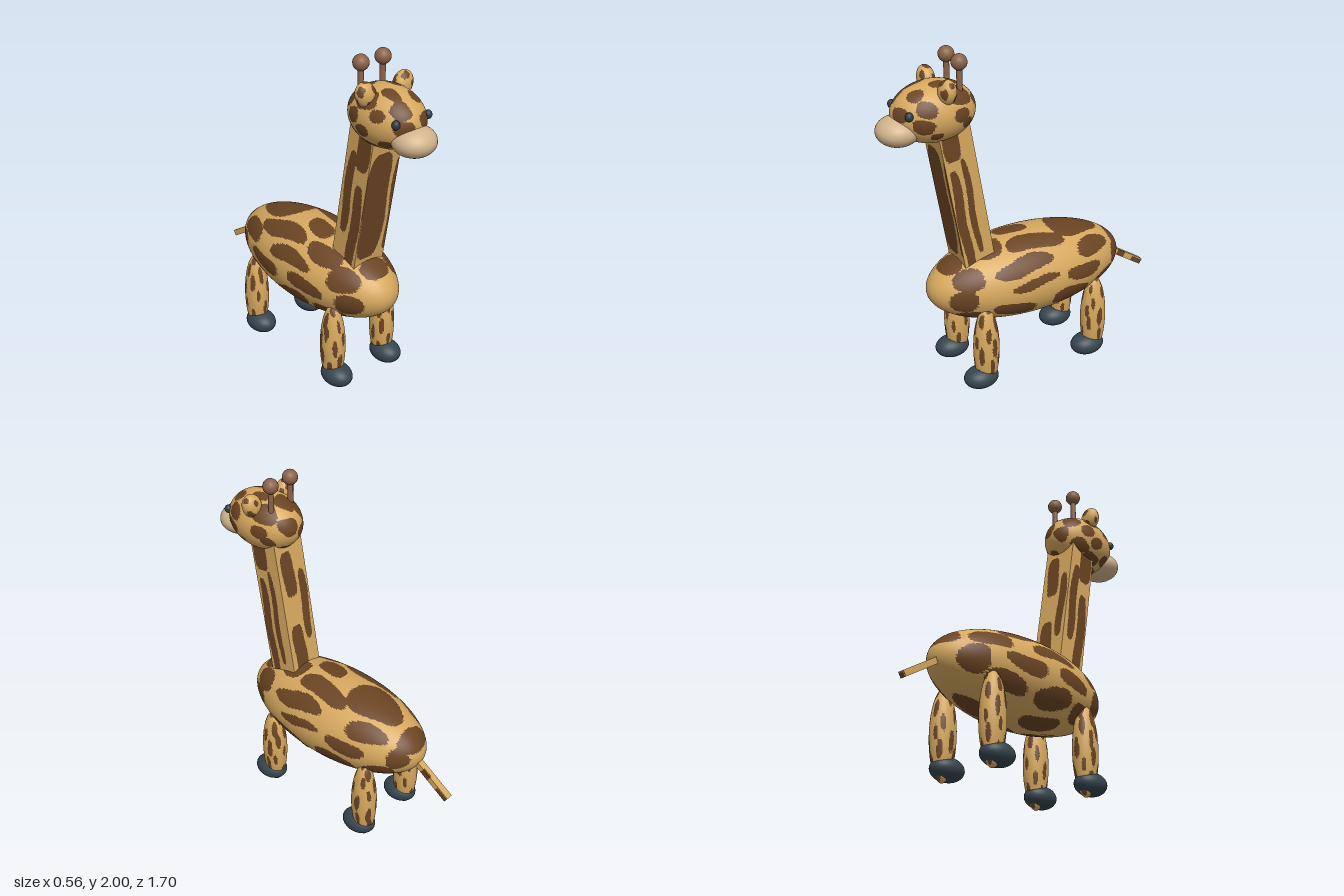
import * as THREE from 'three';

const mat = (name, color) => {
  const m = new THREE.MeshStandardMaterial({ color });
  m.name = name;
  return m;
};

// Small seeded generator for the scattered spots
function seeded(seed) {
  let s = seed;
  return () => (s = (s * 16807) % 2147483647) / 2147483647;
}

// Sort the triangles into coat (group 0) and spot (group 1) by a rule on their centre
function splitSpots(geo, isSpot) {
  const p = geo.attributes.position, idx = geo.index.array, lists = [[], []];
  const a = new THREE.Vector3(), b = new THREE.Vector3(), c = new THREE.Vector3();
  for (let i = 0; i < idx.length; i += 3) {
    a.fromBufferAttribute(p, idx[i]);
    b.fromBufferAttribute(p, idx[i + 1]);
    c.fromBufferAttribute(p, idx[i + 2]);
    const centre = a.clone().add(b).add(c).divideScalar(3);
    const normal = b.sub(a).cross(c.sub(a)).normalize();
    lists[isSpot(centre, normal) ? 1 : 0].push(idx[i], idx[i + 1], idx[i + 2]);
  }
  geo.setIndex([...lists[0], ...lists[1]]);
  geo.clearGroups();
  geo.addGroup(0, lists[0].length, 0);
  geo.addGroup(lists[0].length, lists[1].length, 1);
  return geo;
}

// Rule: irregular round spots spread evenly over a unit sphere
function scattered(count, size, seed) {
  const rnd = seeded(seed), spots = [];
  for (let i = 0; i < count; i++) {
    const y = 1 - (2 * (i + 0.5)) / count, r = Math.sqrt(1 - y * y);
    const t = i * 2.39996 + (rnd() - 0.5) * 0.5;
    spots.push({ at: new THREE.Vector3(r * Math.cos(t), y, r * Math.sin(t)), r: size * (0.7 + 0.6 * rnd()) });
  }
  return (p) => {
    const wobble = 1 + 0.15 * Math.sin(9 * p.x + 5 * p.y) + 0.12 * Math.sin(11 * p.z - 7 * p.y);
    return spots.some((s) => p.distanceTo(s.at) < s.r * wobble);
  };
}

// Body patches: z, angle from the spine towards +x (degrees), half length, half angle
const BODY_PATCHES = [
  [-0.02, 27, 0.18, 13], [0.1, 55, 0.18, 11], [-0.38, 50, 0.12, 14], [0.42, 55, 0.08, 22],
  [0.05, 80, 0.15, 6], [-0.28, 82, 0.12, 12], [-0.57, 85, 0.05, 30], [0.46, 97, 0.07, 24],
  [0.17, 116, 0.13, 14], [-0.2, 118, 0.13, 16], [0.4, 138, 0.08, 18], [-0.46, 122, 0.09, 20],
  [-0.32, 3, 0.17, 27], [-0.58, 0, 0.05, 60], [-0.13, -38, 0.2, 12], [0.06, -8, 0.1, 14],
  [0.22, -36, 0.12, 14], [0.25, 14, 0.08, 15], [-0.4, -60, 0.12, 18], [0.02, -65, 0.17, 10],
  [0.4, -58, 0.09, 20], [-0.2, -90, 0.14, 12], [0.17, -92, 0.13, 12], [0.45, -102, 0.08, 22],
  [-0.5, -102, 0.08, 26], [-0.3, -125, 0.13, 14], [0.03, -122, 0.14, 14], [0.3, -132, 0.1, 18],
  [-0.1, 155, 0.14, 14], [0.2, 165, 0.12, 16], [-0.35, 175, 0.12, 20], [0.05, -158, 0.14, 13],
  [0.46, 180, 0.06, 30], [0.47, 0, 0.06, 35],
];
const bodySpot = (p) => {
  const z = p.z * 0.62 - 0.02, a = THREE.MathUtils.radToDeg(Math.atan2(p.x, p.y));
  const wave = 4 * Math.sin(z * 13 + a * 0.03);
  return BODY_PATCHES.some(([pz, pa, rz, ra]) => {
    const da = ((a + wave - pa + 540) % 360) - 180;
    return Math.abs((z - pz) / rz) ** 2.5 + Math.abs(da / ra) ** 2.5 < 1;
  });
};

// Neck patches per face: across, along, half width, half length
const NECK_PATCHES = {
  front: [[-0.022, 0, 0.085, 0.34], [0.1, -0.02, 0.016, 0.3]],
  right: [[0.055, -0.1, 0.028, 0.32], [-0.015, -0.03, 0.019, 0.3], [0.03, 0.4, 0.05, 0.13]],
  back: [[0.03, 0.24, 0.045, 0.14], [-0.06, 0.02, 0.028, 0.22], [0.03, -0.26, 0.045, 0.18]],
  left: [[0.045, -0.15, 0.035, 0.28], [-0.04, 0.05, 0.03, 0.26], [0.03, 0.34, 0.05, 0.12]],
};
const neckSpot = (p, n) => {
  const side = Math.abs(n.x) > 0.5;
  const face = side ? (n.x > 0 ? 'right' : 'left') : n.z > 0 ? 'front' : 'back';
  const u = (side ? p.z : p.x) + 0.006 * Math.sin(p.y * 14);
  return NECK_PATCHES[face].some(([x, y, rx, ry]) => ((u - x) / rx) ** 4 + Math.abs((p.y - y) / ry) ** 4 < 1);
};

export function createModel() {
  const model = new THREE.Group();
  const coat = mat('golden coat', 0xd6a85e), spot = mat('brown spots', 0x6b4423);
  const cream = mat('cream muzzle', 0xd2b48c), dark = mat('slate hooves', 0x36454f);
  const horn = mat('horn brown', 0x8b6248), eyeMat = mat('dark eyes', 0x2b3d48);
  const spotted = [coat, spot];

  const add = (name, geo, material, x, y, z) => {
    const mesh = new THREE.Mesh(geo, material);
    mesh.name = name;
    mesh.position.set(x, y, z);
    model.add(mesh);
    return mesh;
  };
  const ball = (rx, ry, rz, segs = 32) => new THREE.SphereGeometry(1, segs, Math.round(segs * 0.7)).scale(rx, ry, rz);
  const spottedBall = (rx, ry, rz, segs, rule) =>
    splitSpots(new THREE.SphereGeometry(1, segs, Math.round(segs * 0.7)), rule).scale(rx, ry, rz);

  // Body, neck and tail
  add('body', spottedBall(0.28, 0.255, 0.62, 140, bodySpot), spotted, 0, 0.605, -0.02);
  const neck = splitSpots(new THREE.BoxGeometry(0.21, 0.95, 0.187, 42, 70, 38), neckSpot);
  add('neck', neck, spotted, 0, 1.16, 0.385).rotation.x = 0.168;
  const tailSpot = (p) => (p.z < -0.07 && p.y < 0.012 && p.x > -0.012) || (Math.abs(p.z - 0.03) < 0.03 && p.x > 0.008);
  const tail = splitSpots(new THREE.BoxGeometry(0.04, 0.036, 0.3, 8, 8, 40), tailSpot);
  add('tail', tail, spotted, 0, 0.505, -0.715).rotation.x = -0.57;

  // Head and muzzle
  add('head', spottedBall(0.172, 0.168, 0.237, 110, scattered(28, 0.25, 77)), spotted, 0, 1.69, 0.53);
  add('muzzle', ball(0.12, 0.083, 0.12), cream, 0, 1.617, 0.733);

  for (const s of [-1, 1]) {
    const side = s > 0 ? 'left' : 'right';
    // Face details
    add(side + 'Eye', ball(0.022, 0.025, 0.022, 20), eyeMat, s * 0.11, 1.724, 0.714);
    const ear = spottedBall(0.058, 0.072, 0.048, 48, scattered(9, 0.36, 31 + s));
    add(side + 'Ear', ear, spotted, s * 0.127, 1.825, 0.505).rotation.z = -s * 0.4;
    add(side + 'Horn', new THREE.CylinderGeometry(0.016, 0.016, 0.2, 16), horn, s * 0.075, 1.86, 0.408);
    add(side + 'HornTip', ball(0.044, 0.044, 0.044, 24), horn, s * 0.075, 1.956, 0.408);
    // Legs and hooves
    for (const [end, z] of [['Front', 0.334], ['Hind', -0.386]]) {
      const leg = spottedBall(0.07, 0.264, 0.077, 64, scattered(30, 0.19, 400 + s * 50 + Math.round(z * 100)));
      add(side + end + 'Leg', leg, spotted, s * 0.187, 0.264, z);
      add(side + end + 'Hoof', ball(0.081, 0.066, 0.105), dark, s * 0.187, 0.08, z + 0.036);
    }
  }
  return model;
}
